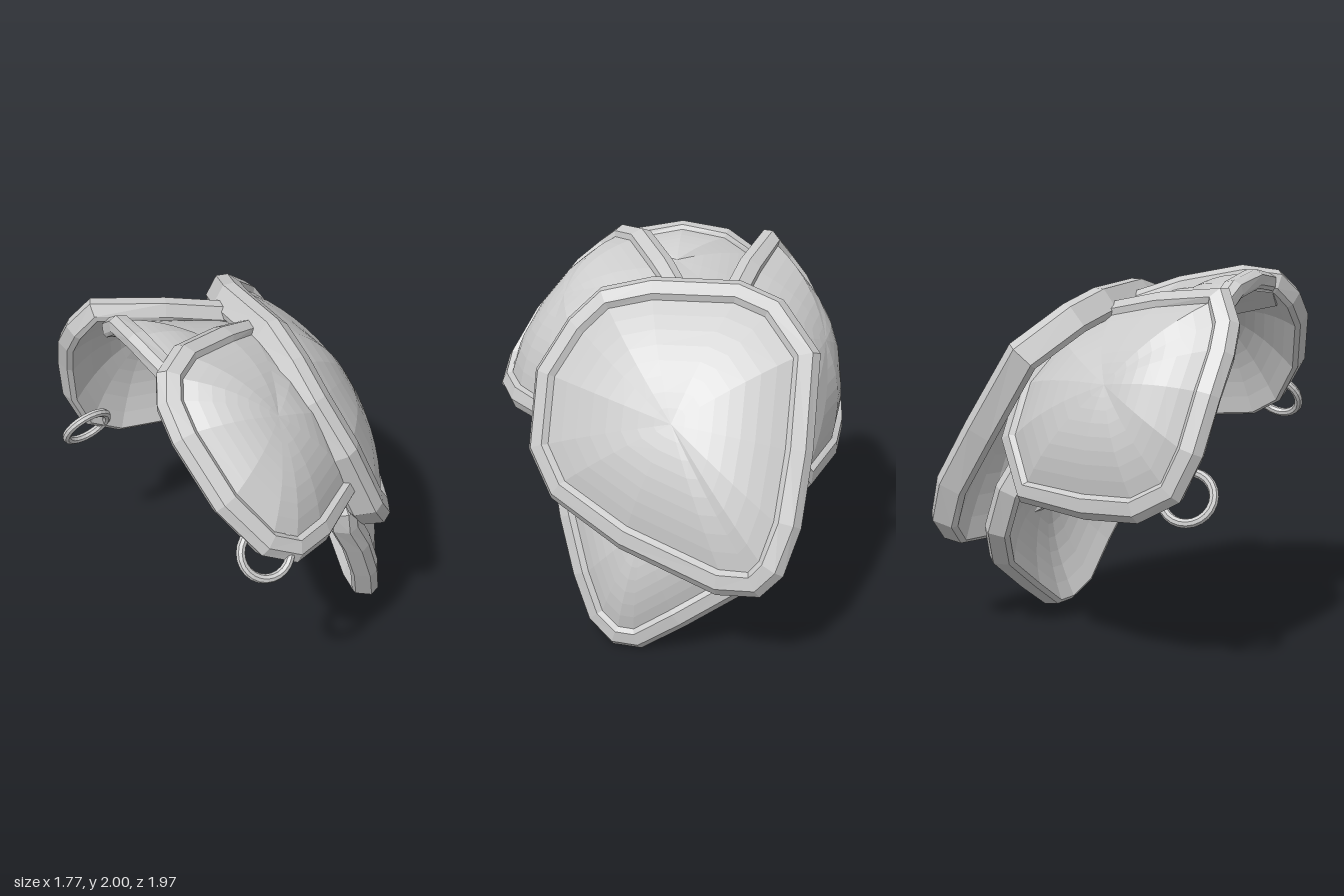
import * as THREE from 'three';

const V = (a) => new THREE.Vector3(...a);
const material = new THREE.MeshStandardMaterial({ color: 0xcccccc, flatShading: true, side: THREE.DoubleSide });

// Surface through rows of points; every row is a closed loop around the plate
function skin(name, rows) {
  const n = rows[0].length, index = [];
  for (let j = 0; j < rows.length - 1; j++) {
    for (let i = 0; i < n; i++) {
      const a = j * n + i, b = j * n + (i + 1) % n;
      index.push(a, b, b + n, a, b + n, a + n);
    }
  }
  const geo = new THREE.BufferGeometry().setFromPoints(rows.flat());
  geo.setIndex(index);
  geo.computeVertexNormals();
  const mesh = new THREE.Mesh(geo, material);
  mesh.name = name;
  return mesh;
}

const mean = (list) => list.reduce((s, p) => s.add(p), new THREE.Vector3()).divideScalar(list.length);

// Dome rows running from an edge loop up to the level of the tip
function dome(edge, tip, normal, power) {
  const centre = mean(edge);
  const lift = tip.clone().sub(centre).dot(normal);
  return Array.from({ length: 9 }, (_, k) => {
    const r = 1 - k / 8;
    return edge.map((q) => centre.clone().lerp(q, r).addScaledVector(normal, lift * (1 - r ** power)));
  });
}

// Armour plate: chamfered rim around the outline, domed panel on top, smooth lining beneath
function plate(name, outline, outward, height, depth, size = 1) {
  const pts = outline.map(V);
  const n = pts.length;
  const normal = new THREE.Vector3();
  pts.forEach((p, i) => normal.add(p.clone().cross(pts[(i + 1) % n])));
  normal.normalize();
  if (normal.dot(V(outward)) < 0) { normal.negate(); pts.reverse(); }
  const apex = mean(pts).addScaledVector(normal, height);

  // Local frame at every outline corner
  const frames = pts.map((p, i) => {
    const t = pts[(i + 1) % n].clone().sub(p).normalize()
      .add(p.clone().sub(pts[(i + n - 1) % n]).normalize()).normalize();
    const inward = apex.clone().sub(p);
    inward.addScaledVector(t, -inward.dot(t)).normalize();
    return { p, inward, up: t.clone().cross(inward) };
  });

  // Rim cross-section from the underside over the top: [towards plate centre, outwards]
  const section = [[0.03, -depth], [0.005, 0.02 - depth], [-0.01, 0.015], [0.03, 0.055], [0.1, 0.06], [0.12, 0.032]];
  const rim = section.map(([u, v]) => frames.map((f) => f.p.clone()
    .addScaledVector(f.inward, u * size).addScaledVector(f.up, v * size)));

  const under = apex.clone().addScaledVector(normal, -0.06);
  const group = new THREE.Group();
  group.name = name;
  group.add(
    skin(name + 'Rim', rim),
    skin(name + 'Panel', dome(rim.at(-1), apex, normal, 2.3)),
    skin(name + 'Lining', dome(rim[0], under, normal, 2.1).reverse()),
  );
  return group;
}

// Strap ring hanging from a plate corner
function ring(name, centre, normal) {
  const mesh = new THREE.Mesh(new THREE.TorusGeometry(0.13, 0.024, 8, 24), material);
  mesh.name = name;
  mesh.position.set(...centre);
  mesh.quaternion.setFromUnitVectors(new THREE.Vector3(0, 0, 1), V(normal).normalize());
  return mesh;
}

export function createModel() {
  const model = new THREE.Group();
  model.name = 'shoulderArmour';
  model.add(
    // Large outer plate
    plate('outerPlate', [
      [-0.06, 1.89, 0.07], [-0.05, 1.88, -0.39], [0.03, 1.81, -0.61], [0.25, 1.61, -0.8],
      [0.53, 1.18, -0.77], [0.74, 0.86, -0.72], [0.835, 0.64, -0.64], [0.835, 0.52, -0.53],
      [0.79, 0.5, -0.31], [0.57, 0.63, 0.2], [0.35, 0.8, 0.58], [0.2, 1.01, 0.71],
      [0.04, 1.4, 0.68], [-0.05, 1.66, 0.51], [-0.08, 1.82, 0.34],
    ], [1, 0.5, 0], 0.24, 0.11, 1.12),
    // Pointed plate below it
    plate('lowerPlate', [
      [0.11, 0.95, 0.6], [0.13, 0.82, 0.59], [0.24, 0.62, 0.55], [0.36, 0.34, 0.47],
      [0.44, 0.11, 0.38], [0.52, 0.01, 0.25], [0.55, 0.01, 0.1], [0.58, 0.17, -0.13],
      [0.57, 0.39, -0.46], [0.51, 0.6, -0.62], [0.41, 0.85, -0.67], [0.28, 1.1, -0.59],
      [0.15, 1.25, -0.3], [0.11, 1.28, 0.1], [0.11, 1.15, 0.44],
    ], [1, 0.3, 0], 0.23, 0.095),
    // Chest-side plate
    plate('frontPlate', [
      [-0.84, 1.83, 0.36], [-0.78, 1.93, 0.25], [-0.62, 1.96, 0.13], [-0.32, 1.9, -0.01],
      [-0.1, 1.82, -0.11], [0.1, 1.65, 0.05], [0.18, 1.4, 0.35], [0.14, 1.12, 0.61],
      [-0.19, 1.08, 0.84], [-0.41, 1.09, 0.925], [-0.59, 1.19, 0.9], [-0.75, 1.42, 0.75],
      [-0.84, 1.7, 0.51],
    ], [0, 0.6, 0.8], 0.24, 0.085),
    // Back-side plate
    plate('backPlate', [
      [-0.86, 1.78, -0.6], [-0.77, 1.93, -0.5], [-0.4, 1.88, -0.38], [-0.1, 1.81, -0.3],
      [0.2, 1.65, -0.34], [0.38, 1.4, -0.46], [0.42, 1.1, -0.6], [0.25, 0.83, -0.74],
      [-0.18, 0.82, -0.89], [-0.48, 0.84, -0.93], [-0.69, 0.96, -0.92], [-0.79, 1.18, -0.89],
      [-0.84, 1.45, -0.8], [-0.87, 1.64, -0.7],
    ], [0, 0.4, -0.9], 0.25, 0.075),
    // Collar plate bridging front and back underneath
    plate('topPlate', [
      [-0.72, 1.81, 0.4], [-0.76, 1.92, 0.22], [-0.78, 1.96, -0.05], [-0.76, 1.93, -0.3],
      [-0.72, 1.81, -0.48], [-0.35, 1.72, -0.48], [0, 1.64, -0.42], [0.05, 1.72, 0],
      [0, 1.64, 0.36], [-0.35, 1.72, 0.4],
    ], [0, 1, 0], 0.11, 0.07, 0.8),
    // Strap rings
    ring('frontRing', [-0.56, 1.18, 0.89], [-0.1, 0.54, 0.84]),
    ring('backRing', [-0.7, 0.96, -0.84], [-0.1, 0.5, -0.86]),
  );
  return model;
}
